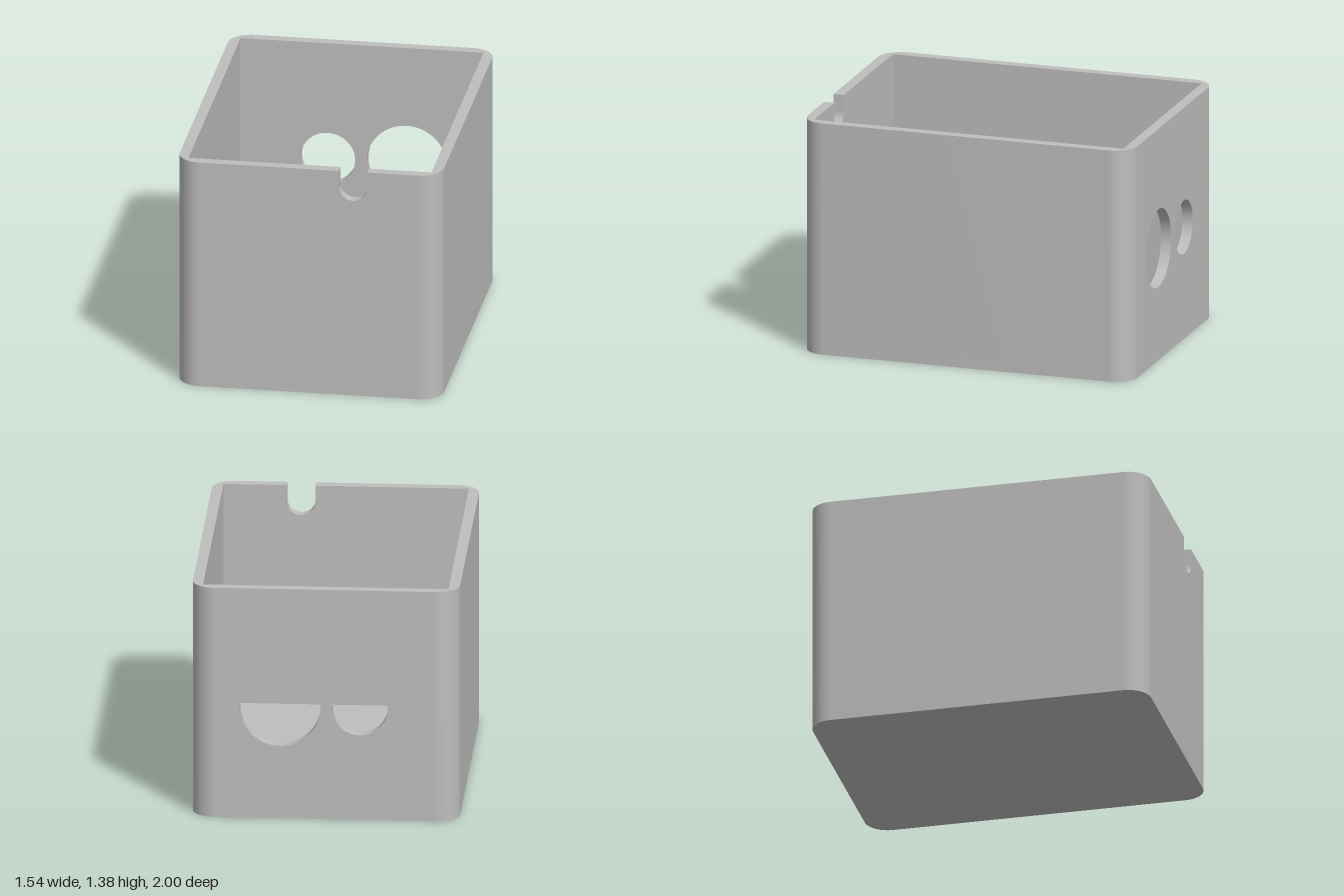
import * as THREE from 'three';
import { toCreasedNormals } from 'three/addons/utils/BufferGeometryUtils.js';

const W = 0.77, D = 1, H = 1.385;     // half width, half depth, height
const T = 0.0625, R = 0.135;          // wall thickness, corner radius
const CX = W - R, CZ = D - R;         // corner arc centres

export function createModel() {
  const group = new THREE.Group();
  group.name = 'openBox';
  const grey = new THREE.MeshStandardMaterial({ color: 0xbebebe });
  grey.name = 'grey';

  const add = (name, geometry) => {
    const mesh = new THREE.Mesh(toCreasedNormals(geometry, 0.6), grey);
    mesh.name = name;
    group.add(mesh);
    return mesh;
  };
  const extrude = (shape, depth) =>
    new THREE.ExtrudeGeometry(shape, { depth, bevelEnabled: false, curveSegments: 24 });
  // Plan shapes are drawn in x / -z and raised along y
  const raise = (shape, y0, y1) =>
    extrude(shape, y1 - y0).rotateX(-Math.PI / 2).translate(0, y0, 0);

  // Floor with rounded corners
  const floor = new THREE.Shape();
  floor.absarc(CX, CZ, R, 0, Math.PI / 2);
  floor.absarc(-CX, CZ, R, Math.PI / 2, Math.PI);
  floor.absarc(-CX, -CZ, R, Math.PI, Math.PI * 1.5);
  floor.absarc(CX, -CZ, R, Math.PI * 1.5, Math.PI * 2);
  add('floor', raise(floor, 0, T));

  // Side walls: round outside corners, square inside corners
  const side = new THREE.Shape();
  side.moveTo(CX, -D);
  side.absarc(CX, -CZ, R, -Math.PI / 2, 0);
  side.absarc(CX, CZ, R, 0, Math.PI / 2);
  side.lineTo(CX, D - T);
  side.lineTo(W - T, D - T);
  side.lineTo(W - T, -D + T);
  side.lineTo(CX, -D + T);
  side.closePath();
  add('leftWall', raise(side, T, H));
  add('rightWall', raise(side, T, H).rotateY(Math.PI));

  // Front wall with a round-bottomed cable notch in the rim
  const nx = 0.26, nr = 0.083, ny = 1.205 + nr;
  const front = new THREE.Shape();
  front.moveTo(-CX, T);
  front.lineTo(CX, T);
  front.lineTo(CX, H);
  front.lineTo(nx + nr, H);
  front.absarc(nx, ny, nr, 0, -Math.PI, true);
  front.lineTo(nx - nr, H);
  front.lineTo(-CX, H);
  front.closePath();
  add('frontWall', extrude(front, T).translate(0, 0, D - T));

  // Back wall with a large and a small round hole
  const back = new THREE.Shape();
  back.moveTo(-CX, T);
  back.lineTo(CX, T);
  back.lineTo(CX, H);
  back.lineTo(-CX, H);
  back.closePath();
  for (const [x, r] of [[0.26, 0.233], [-0.2, 0.16]]) {
    back.holes.push(new THREE.Path().absarc(x, 0.67, r, 0, Math.PI * 2, true));
  }
  add('backWall', extrude(back, T).translate(0, 0, -D));

  return group;
}
